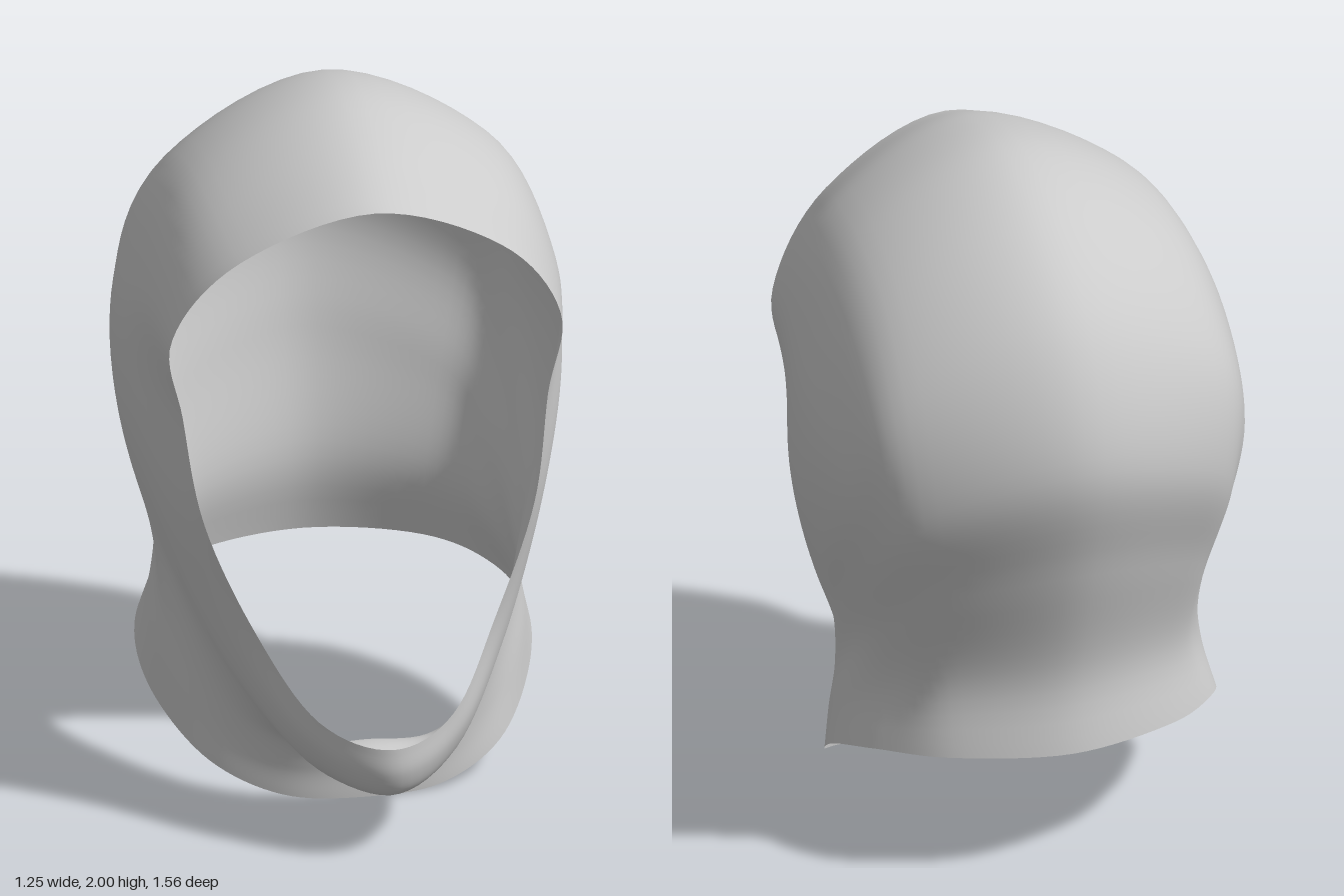
import * as THREE from 'three';

// Guide lines of the left half, each running from the face opening to the neck hem.
const crown = [[0, 1.85, .48], [0, 1.945, .27], [0, 2, -.04], [0, 1.92, -.36], [0, 1.7, -.64],
  [0, 1.35, -.78], [0, 1, -.71], [0, .62, -.62], [0, .4, -.65]];
const upperSide = [[.37, 1.7, .42], [.41, 1.78, .2], [.43, 1.8, -.05], [.44, 1.72, -.32],
  [.45, 1.5, -.55], [.43, 1.2, -.63], [.37, .9, -.57], [.32, .6, -.52], [.32, .395, -.56]];
const temple = [[.548, 1.45, .35], [.57, 1.49, .2], [.59, 1.48, 0], [.6, 1.42, -.22],
  [.575, 1.25, -.43], [.52, 1, -.45], [.455, .75, -.41], [.44, .55, -.38], [.49, .365, -.39]];
const ear = [[.515, 1.2, .335], [.555, 1.19, .2], [.608, 1.16, .03], [.62, 1.08, -.12],
  [.585, .92, -.2], [.53, .75, -.2], [.5, .6, -.2], [.52, .45, -.2], [.555, .3, -.21]];
const cheek = [[.465, .9, .4], [.505, .86, .28], [.535, .8, .13], [.52, .71, .03],
  [.493, .6, -.02], [.492, .45, -.03], [.51, .32, -.03], [.525, .19, -.04]];
const jaw = [[.335, .6, .5], [.375, .53, .42], [.39, .46, .33], [.375, .39, .25],
  [.37, .3, .2], [.385, .2, .17], [.41, .08, .16]];
const chinSide = [[.19, .4, .67], [.215, .33, .64], [.21, .25, .58], [.19, .215, .5],
  [.19, .22, .4], [.2, .19, .32], [.215, .1, .285], [.225, .012, .275]];
const chin = [[0, .35, .78], [0, .27, .78], [0, .2, .745], [0, .18, .68], [0, .19, .55],
  [0, .212, .42], [0, .19, .345], [0, .1, .31], [0, 0, .305]];

const ROWS = 56;
const COLS = 112;

function sampleGuide(points, side = 1) {
  const curve = new THREE.CatmullRomCurve3(points.map(([x, y, z]) => new THREE.Vector3(x * side, y, z)));
  return curve.getSpacedPoints(ROWS);
}

// Skin the guides with a closed smooth loop through each row.
function loft(guides) {
  const positions = [];
  const index = [];
  for (let j = 0; j <= ROWS; j++) {
    const ring = new THREE.CatmullRomCurve3(guides.map((g) => g[j]), true, 'catmullrom', 0.5);
    for (let i = 0; i < COLS; i++) positions.push(...ring.getPoint(i / COLS).toArray());
  }
  for (let j = 0; j < ROWS; j++) {
    for (let i = 0; i < COLS; i++) {
      const a = j * COLS + i;
      const b = j * COLS + (i + 1) % COLS;
      index.push(a, b, a + COLS, b, b + COLS, a + COLS);
    }
  }
  const geometry = new THREE.BufferGeometry();
  geometry.setAttribute('position', new THREE.Float32BufferAttribute(positions, 3));
  geometry.setIndex(index);
  geometry.computeVertexNormals();
  return geometry;
}

export function createModel() {
  const group = new THREE.Group();
  group.name = 'hood';

  // Thin fabric shell, open at the face and at the neck
  const half = [upperSide, temple, ear, cheek, jaw, chinSide];
  const guides = [
    sampleGuide(crown),
    ...half.map((g) => sampleGuide(g)),
    sampleGuide(chin),
    ...half.slice().reverse().map((g) => sampleGuide(g, -1)),
  ];
  const material = new THREE.MeshStandardMaterial({ color: 0xcccccc, side: THREE.DoubleSide });
  const shell = new THREE.Mesh(loft(guides), material);
  shell.name = 'hoodShell';
  group.add(shell);
  return group;
}
